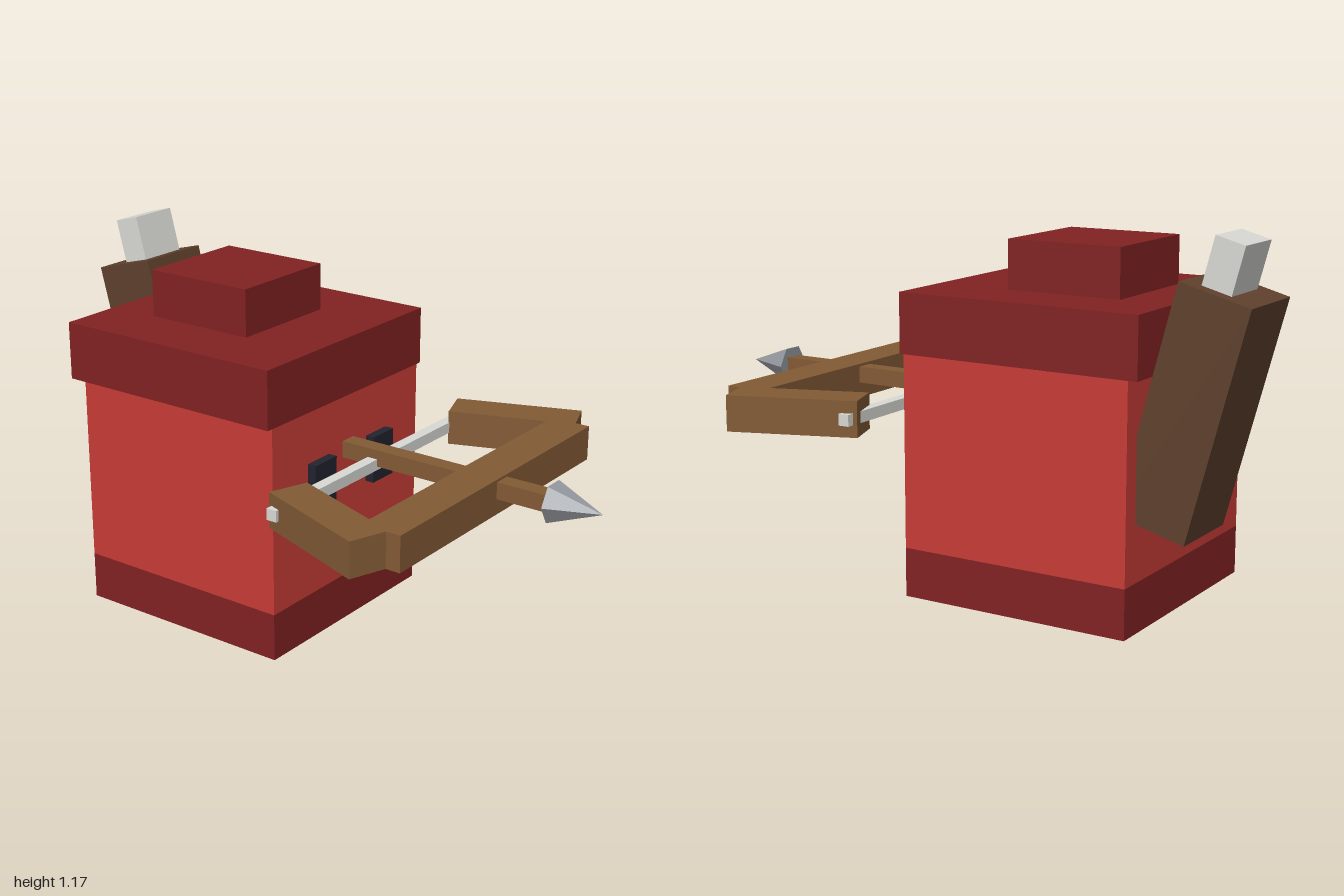
import * as THREE from 'three';

const mat = (name, color) => {
  const m = new THREE.MeshStandardMaterial({ color });
  m.name = name;
  return m;
};

export function createModel() {
  const red = mat('red', 0xc83c36);
  const darkRed = mat('darkRed', 0x812222);
  const wood = mat('wood', 0x825a35);
  const leather = mat('leather', 0x5f402c);
  const dark = mat('eyeBlack', 0x22232e);
  const steel = mat('steel', 0x93979d);
  const pale = mat('paleGrey', 0xd8d9d4);

  const model = new THREE.Group();
  model.name = 'crossbowCharacter';

  // Box given by its size and centre
  const box = (name, material, [w, h, d], [x, y, z], parent = model) => {
    const mesh = new THREE.Mesh(new THREE.BoxGeometry(w, h, d), material);
    mesh.name = name;
    mesh.position.set(x, y, z);
    parent.add(mesh);
    return mesh;
  };

  // Body and hat
  box('bodyBase', darkRed, [0.76, 0.155, 0.76], [0, 0.0775, -0.28]);
  box('body', red, [0.76, 0.61, 0.76], [0, 0.46, -0.28]);
  box('hatBrim', darkRed, [0.8, 0.187, 0.8], [0, 0.8585, -0.3]);
  box('hatTop', darkRed, [0.38, 0.153, 0.38], [0, 1.0285, -0.34]);

  // Crossbow
  const bow = new THREE.Group();
  bow.name = 'crossbow';
  model.add(bow);
  box('bowBar', wood, [1.062, 0.113, 0.133], [0, 0.572, 0.597], bow);
  box('bowString', pale, [1.064, 0.036, 0.036], [0, 0.572, 0.215], bow);

  // Mirrored parts: eyes and bow arms
  for (const s of [-1, 1]) {
    const side = s > 0 ? 'left' : 'right';
    box(side + 'Eye', dark, [0.108, 0.155, 0.04], [s * 0.153, 0.522, 0.11]);
    const arm = box(side + 'BowArm', wood, [0.131, 0.113, 0.414], [s * 0.513, 0.572, 0.402], bow);
    arm.rotation.y = s * THREE.MathUtils.degToRad(20);
  }

  // Arrow: square shaft and six-sided point
  box('arrowShaft', wood, [0.056, 0.054, 0.75], [0, 0.593, 0.465], bow);
  const coneGeo = new THREE.ConeGeometry(0.066, 0.165, 6).rotateX(Math.PI / 2).rotateZ(Math.PI / 6).toNonIndexed();
  coneGeo.computeVertexNormals();
  const head = new THREE.Mesh(coneGeo, steel);
  head.name = 'arrowHead';
  head.position.set(0, 0.593, 0.9175);
  bow.add(head);

  // Quiver leaning backwards, with a bolt sticking out
  const quiver = new THREE.Group();
  quiver.name = 'quiver';
  quiver.position.set(0.19, 0.666, -0.796);
  quiver.rotation.x = -THREE.MathUtils.degToRad(15);
  model.add(quiver);
  box('quiverCase', leather, [0.262, 0.715, 0.2275], [0, 0, 0], quiver);
  box('quiverBolt', pale, [0.172, 0.2, 0.094], [0, 0.404, 0.016], quiver);

  return model;
}
